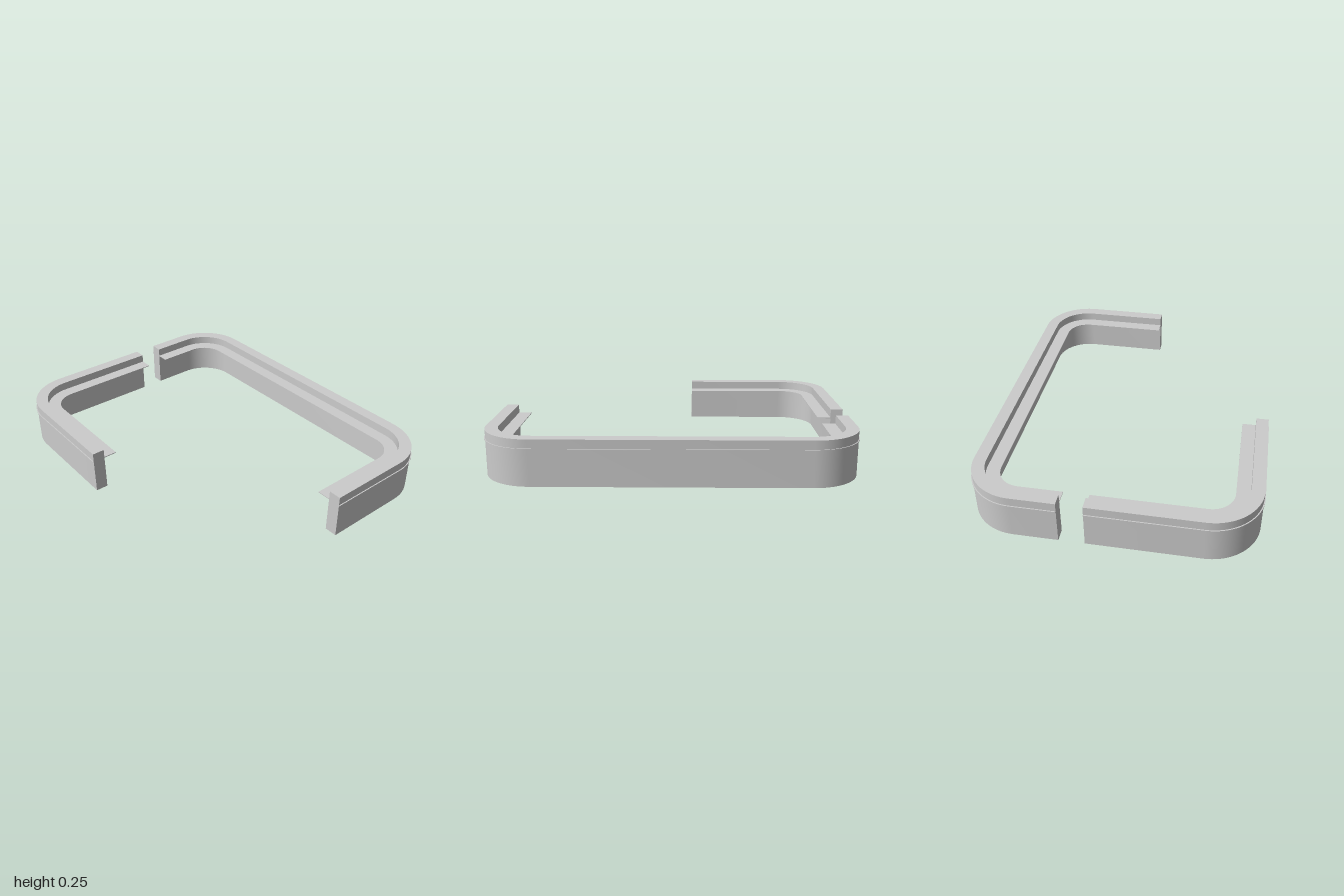
import * as THREE from 'three';
import { toCreasedNormals } from 'three/addons/utils/BufferGeometryUtils.js';

const CX = 0.72, CZ = 0.49, R = 0.205; // corner centres and centreline radius

// Points of a rounded corner, swept clockwise from angle a, pushed outward by d
function corner(sx, sz, a, d) {
  const pts = [];
  for (let i = 0; i <= 20; i++) {
    const t = a - (i / 20) * Math.PI / 2;
    pts.push(new THREE.Vector2(sx * CX + (R + d) * Math.cos(t), sz * CZ + (R + d) * Math.sin(t)));
  }
  return pts;
}

// Plan paths (x, -z), offset outward by d
const backPath = (d) => [
  new THREE.Vector2(-CX - R - d, 0.25),
  ...corner(-1, 1, Math.PI, d),
  ...corner(1, 1, Math.PI / 2, d),
  new THREE.Vector2(CX + R + d, 0.01),
];
const frontPath = (d) => [
  new THREE.Vector2(-0.123, -CZ - R - d),
  ...corner(-1, -1, Math.PI * 1.5, d),
  new THREE.Vector2(-CX - R - d, 0.112),
];

// Upright band between two offsets of a path
function band(name, path, inner, outer, y0, y1, material) {
  const shape = new THREE.Shape([...path(outer), ...path(inner).reverse()]);
  const geo = new THREE.ExtrudeGeometry(shape, { depth: y1 - y0, bevelEnabled: false });
  geo.rotateX(-Math.PI / 2);
  geo.translate(0, y0, 0);
  const mesh = new THREE.Mesh(toCreasedNormals(geo, 0.5), material);
  mesh.name = name;
  return mesh;
}

export function createModel() {
  const model = new THREE.Group();
  model.name = 'counter';
  const material = new THREE.MeshStandardMaterial({ color: 0xcccccc });

  for (const [side, path] of [['back', backPath], ['front', frontPath]]) {
    const section = new THREE.Group();
    section.name = side + 'Section';
    // wall on the outer half, thin shelf running through it
    section.add(band(side + 'Wall', path, 0, 0.069, 0, 0.25, material));
    section.add(band(side + 'Shelf', path, -0.075, 0.075, 0.198, 0.202, material));
    model.add(section);
  }
  return model;
}
